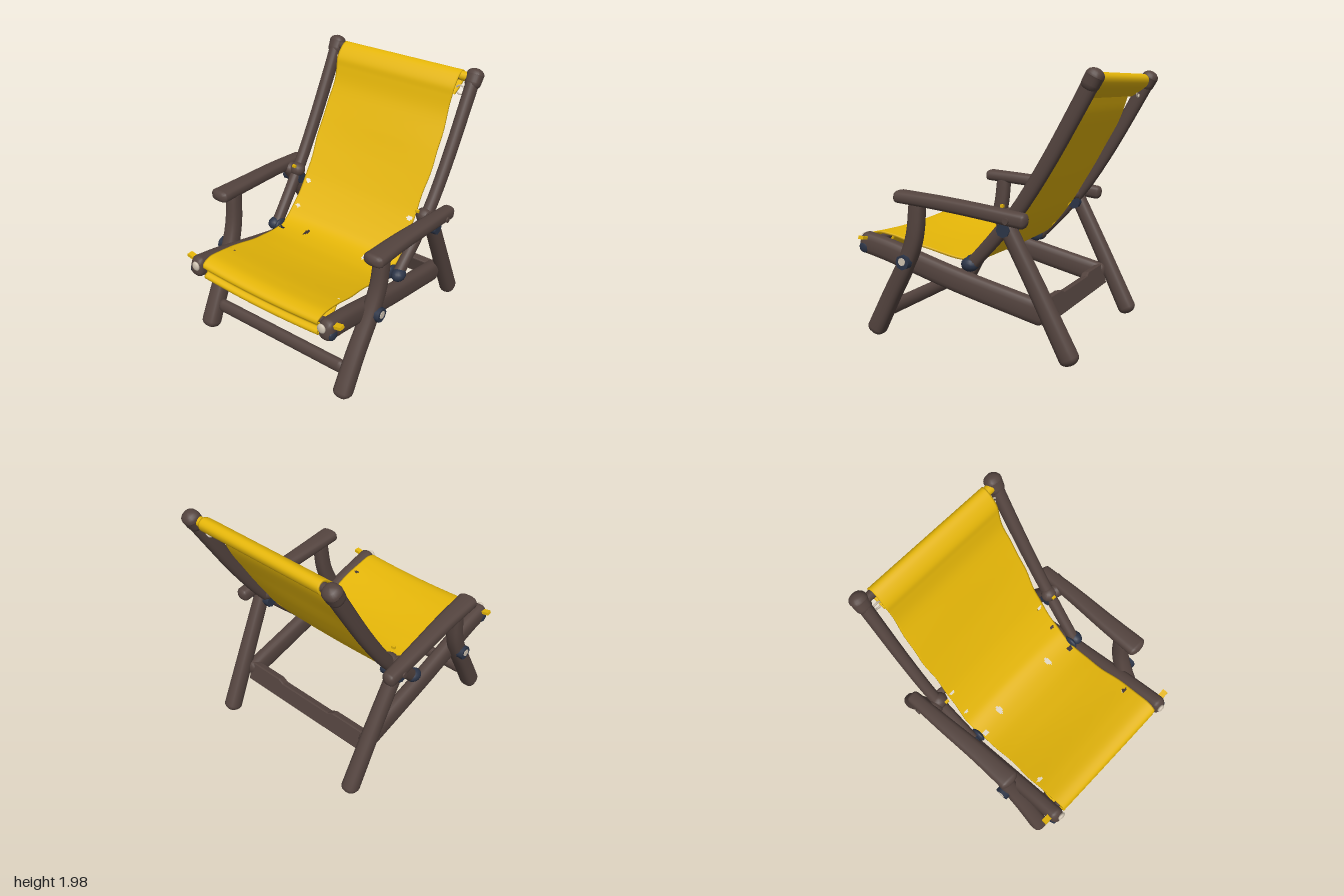
import * as THREE from 'three';

const mat = (name, color, side = THREE.FrontSide) => {
  const m = new THREE.MeshStandardMaterial({ color, side });
  m.name = name;
  return m;
};

export function createModel() {
  const wood = mat('dark brown wood', 0x54443f);
  const cloth = mat('yellow canvas', 0xe5b608, THREE.DoubleSide);
  const metal = mat('dark blue fitting', 0x2c3548);
  const cream = mat('cream bolt', 0xcfc3b2);
  const group = new THREE.Group();

  const add = (name, geo, m, x = 0, y = 0, z = 0) => {
    const mesh = new THREE.Mesh(geo, m);
    mesh.name = name;
    mesh.position.set(x, y, z);
    group.add(mesh);
    return mesh;
  };

  // Rounded beam along a path: a = half width in x, b = half depth [start, end], p = squareness
  function limb(name, pts, a, b, p = 2.4) {
    const curve = new THREE.CatmullRomCurve3(pts.map(q => new THREE.Vector3(...q)));
    const rings = [], M = 20, N = 16, C = 5;
    const r = Math.min(a[0], b[0]) * 0.8;
    for (let k = 0; k < C; k++) rings.push([0, -Math.PI / 2 * (1 - k / C)]);
    for (let k = 0; k <= N; k++) rings.push([k / N, 0]);
    for (let k = 1; k <= C; k++) rings.push([1, Math.PI / 2 * k / C]);
    const pos = [], idx = [];
    const X = new THREE.Vector3(1, 0, 0);
    const pw = v => Math.sign(v) * Math.abs(v) ** (2 / p);
    rings.forEach(([t, cap], i) => {
      const T = curve.getTangent(t), c = curve.getPoint(t).addScaledVector(T, r * Math.sin(cap));
      const Nn = T.clone().cross(X).normalize();
      const s = Math.max(Math.cos(cap), 0.001);
      for (let j = 0; j < M; j++) {
        const f = j / M * Math.PI * 2;
        const v = c.clone()
          .addScaledVector(X, pw(Math.cos(f)) * s * THREE.MathUtils.lerp(a[0], a[1], t))
          .addScaledVector(Nn, pw(Math.sin(f)) * s * THREE.MathUtils.lerp(b[0], b[1], t));
        pos.push(v.x, v.y, v.z);
        if (i < rings.length - 1) {
          const A = i * M + j, B = i * M + (j + 1) % M;
          idx.push(A, B, A + M, B, B + M, A + M);
        }
      }
    });
    const g = new THREE.BufferGeometry();
    g.setAttribute('position', new THREE.Float32BufferAttribute(pos, 3));
    g.setIndex(idx);
    g.computeVertexNormals();
    return add(name, g, wood);
  }

  // Cylinder lying along x
  const rod = (name, r, len, m, x, y, z, sides = 16) =>
    add(name, new THREE.CylinderGeometry(r, r, len, sides).rotateZ(Math.PI / 2), m, x, y, z);
  const ball = (name, r, m, x, y, z, sx = 1, sy = 1, sz = 1) =>
    add(name, new THREE.SphereGeometry(r, 14, 10).scale(sx, sy, sz), m, x, y, z);

  // Side frames, mirrored
  for (const s of [1, -1]) {
    const side = s > 0 ? 'left' : 'right';
    limb(side + 'BackPost', [[s * .635, 1.93, -.9], [s * .635, 1.72, -.785], [s * .635, 1.37, -.585],
      [s * .63, 1.05, -.375], [s * .615, .82, -.18], [s * .6, .64, -.01]], [.048, .042], [.058, .048]);
    limb(side + 'PostKnob', [[s * .637, 1.945, -.91], [s * .637, 1.89, -.88]], [.066, .06], [.062, .06]);
    limb(side + 'SeatRail', [[s * .605, .71, .9], [s * .605, .665, .7], [s * .605, .51, .15],
      [s * .605, .345, -.54]], [.06, .055], [.082, .088], 2.8);
    limb(side + 'FrontLeg', [[s * .658, .075, .785], [s * .665, .34, .645], [s * .68, .63, .485],
      [s * .69, .82, .415], [s * .695, 1.06, .385]], [.07, .055], [.07, .06], 2.7);
    limb(side + 'RearLeg', [[s * .65, .075, -.765], [s * .665, .52, -.54], [s * .685, 1, -.29]],
      [.065, .055], [.07, .058]);
    limb(side + 'Armrest', [[s * .71, 1.1, .515], [s * .715, 1.075, .2], [s * .73, 1.04, -.15],
      [s * .737, 1, -.46]], [.08, .052], [.047, .054], 2.8);
    ball(side + 'ArmPivot', .062, wood, s * .62, 1, -.31, 1.1, 1, 1);
    rod(side + 'ArmPivotPin', .022, .1, wood, s * .75, 1, -.36);

    // Fittings and bolts
    ball(side + 'PostFittingInner', .055, metal, s * .55, .635, .015, .45, 1, 1.15);
    ball(side + 'PostFitting', .055, metal, s * .61, .63, .01, 1, .95, 1.2);
    rod(side + 'PivotFitting', .05, .17, metal, s * .66, .925, -.315, 8);
    rod(side + 'LegFitting', .056, .11, metal, s * .715, .625, .48, 8);
    rod(side + 'LegBolt', .03, .03, cream, s * .76, .632, .48, 8);
    ball(side + 'RailEndFitting', .045, metal, s * .65, .68, .895, .45, 1, 1);
    ball(side + 'RailEndBolt', .034, cream, s * .588, .735, .943, 1, 1.15, .5);
    const tab = add(side + 'CanvasTab', new THREE.BoxGeometry(.08, .025, .045), cloth, s * .675, .755, .88);
    tab.rotation.z = s * .2;
    add(side + 'ArmTab', new THREE.BoxGeometry(.03, .02, .02), cloth, s * .595, 1.065, -.24);
    add(side + 'CordRing', new THREE.TorusGeometry(.036, .007, 6, 16), cream, s * .56, 1.83, -.84);
  }

  // Cross members
  rod('topBar', .033, 1.22, wood, 0, 1.925, -.885);
  rod('topBarSleeve', .036, .06, cloth, .565, 1.925, -.885);
  rod('seatFrontBar', .025, 1.2, wood, 0, .725, .855);
  add('frontStretcher', new THREE.CapsuleGeometry(.057, 1.14, 6, 14).rotateZ(Math.PI / 2)
    .scale(1, 1, .75), wood, 0, .213, .71);
  const plank = new THREE.Shape([[-.6, -.08], [.6, -.08], [.6, .07], [.29, .07], [.24, .048],
    [-.24, .048], [-.29, .07], [-.6, .07]].map(q => new THREE.Vector2(...q)));
  const rear = add('rearStretcher', new THREE.ExtrudeGeometry(plank,
    { depth: .04, bevelEnabled: true, bevelSize: .008, bevelThickness: .01, bevelSegments: 2 })
    .translate(0, 0, -.02), wood, 0, .35, -.55);
  rear.rotation.x = .25;

  // Canvas sling: profile [z, y] from the rear hem, over the top bar, down the back, round the front bar
  const profile = [[-.8, 1.8], [-.86, 1.84], [-.92, 1.89], [-.928, 1.94], [-.895, 1.97], [-.855, 1.962],
    [-.805, 1.92], [-.767, 1.865], [-.75, 1.8], [-.705, 1.66], [-.565, 1.4], [-.37, 1.06], [-.29, .935],
    [-.165, .775], [-.08, .69], [0, .658], [.12, .652], [.3, .68], [.5, .725], [.72, .775], [.85, .787],
    [.915, .762], [.924, .735], [.9, .705], [.888, .685], [.922, .66], [.915, .63], [.88, .622],
    [.8, .65], [.74, .7], [.7, .755]];
  const path = new THREE.CatmullRomCurve3(profile.map(([z, y]) => new THREE.Vector3(0, y, z)));
  // Eyelets: x, z, half width, half length
  const eyelets = [[.5, -.295, .03, .011], [.5, -.155, .028, .011], [.5, .05, .026, .022],
    [.5, .63, .028, .017], [.29, 0, .024, .036]];
  const NU = 90, NV = 260, pos = [], idx = [], W = NU + 1, L = W * (NV + 1);
  const { smoothstep } = THREE.MathUtils;
  // Outer face first, then the inner face set back by the cloth thickness
  for (const depth of [0, .016]) for (let i = 0; i <= NV; i++) {
    const v = i / NV, c = path.getPointAt(v), T = path.getTangentAt(v);
    c.y -= depth * T.z;
    c.z += depth * T.y;
    const half = .538 + .006 * Math.sin(v * 26) + .003 * Math.sin(v * 61);
    const sag = .02 * smoothstep(c.z, 0, .5);
    const bulge = .014 * smoothstep(-c.y, -1.6, -1.2) * smoothstep(-c.z, -.1, .1);
    for (let j = 0; j <= NU; j++) {
      const u = j / NU * 2 - 1;
      pos.push(u * half, c.y - sag * (1 - u * u), c.z - bulge * (1 - u * u));
    }
  }
  for (let i = 0; i < NV; i++) {
    for (let j = 0; j < NU; j++) {
      const A = i * W + j, B = A + W, C = A + L, D = B + L;
      const x = Math.abs(pos[A * 3] + pos[A * 3 + 3]) / 2, z = (pos[A * 3 + 2] + pos[B * 3 + 2]) / 2;
      // Skip the cells that fall inside an eyelet
      const onTop = i > NV * .2 && i < NV * .8;
      if (onTop && eyelets.some(([ex, ez, rx, rz]) => ((x - ex) / rx) ** 2 + ((z - ez) / rz) ** 2 < 1)) continue;
      idx.push(A, B, A + 1, B, B + 1, A + 1, C, C + 1, D, D, C + 1, D + 1);
    }
    // Side edges
    const P = i * W, Q = P + NU;
    idx.push(P, P + L, P + W, P + W, P + L, P + L + W, Q, Q + W, Q + L, Q + W, Q + L + W, Q + L);
  }
  const sling = new THREE.BufferGeometry();
  sling.setAttribute('position', new THREE.Float32BufferAttribute(pos, 3));
  sling.setIndex(idx);
  sling.computeVertexNormals();
  add('canvasSling', sling, cloth);

  return group;
}
